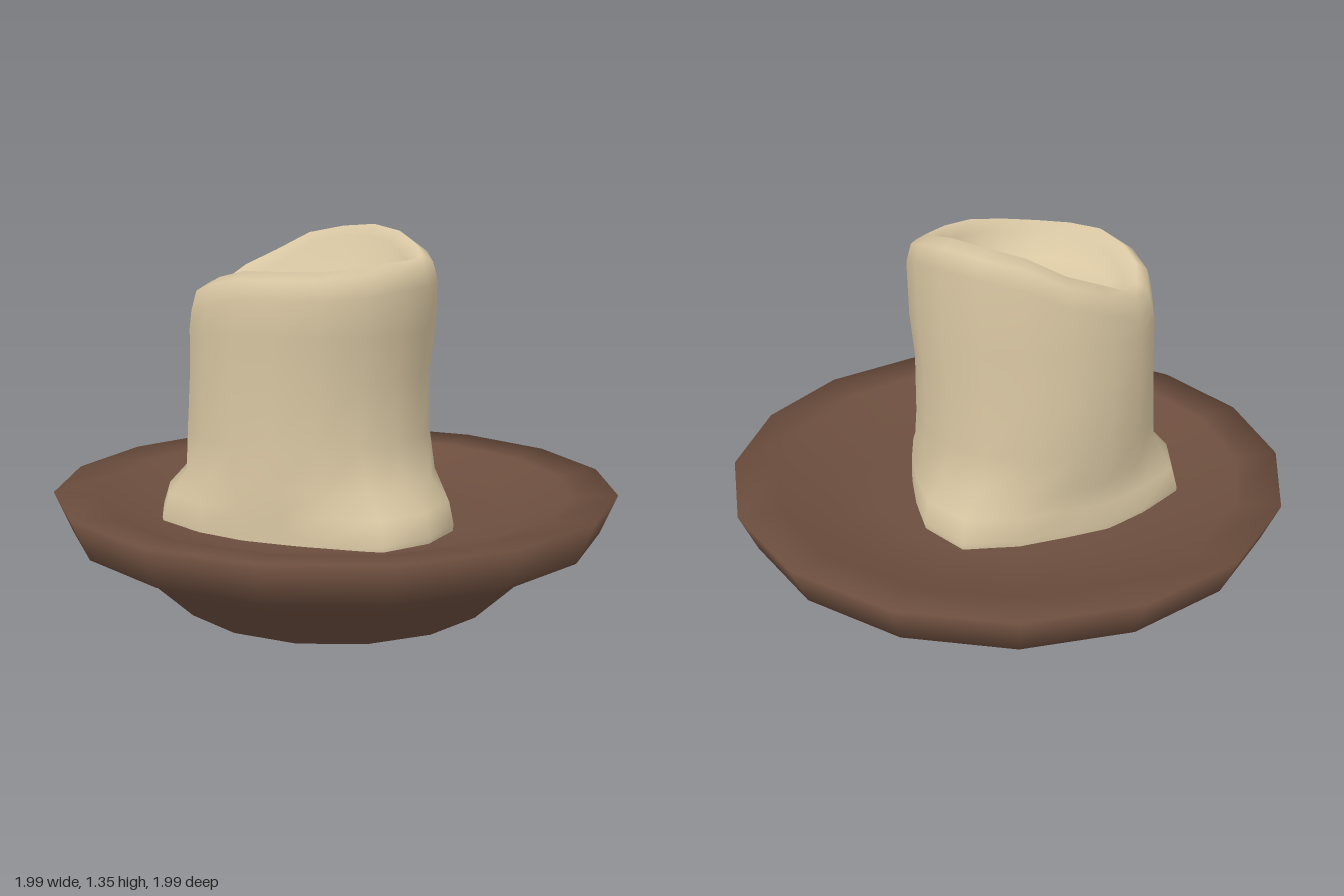
import * as THREE from 'three';

// Smooth skin through closed rings of points, finished with a cap at the last ring's centre
function loft(rings, tip) {
  const n = rings[0].length, pos = rings.flat(2), index = [];
  for (let r = 0; r < rings.length - 1; r++) {
    for (let j = 0; j < n; j++) {
      const a = r * n + j, b = r * n + (j + 1) % n;
      index.push(a, a + n, b, b, a + n, b + n);
    }
  }
  const last = (rings.length - 1) * n, c = rings.length * n;
  pos.push(...tip);
  for (let j = 0; j < n; j++) index.push(last + j, c, last + (j + 1) % n);
  const g = new THREE.BufferGeometry();
  g.setAttribute('position', new THREE.Float32BufferAttribute(pos, 3));
  g.setIndex(index);
  g.computeVertexNormals();
  return g;
}

export function createModel() {
  const group = new THREE.Group();
  const wax = new THREE.MeshStandardMaterial({ name: 'cream wax', color: 0xd9c7a3 });
  const clay = new THREE.MeshStandardMaterial({ name: 'brown clay', color: 0x6c4e3e });

  // Dish: flared underside, broad rim, shallow hollow
  const profile = [
    [0, 0], [0.45, 0.002], [0.59, 0.012], [0.775, 0.19], [0.955, 0.275],
    [1.015, 0.418], [0.86, 0.4], [0.7, 0.325], [0.5, 0.312], [0, 0.31],
  ].map(([x, y]) => new THREE.Vector2(x, y));
  const dish = new THREE.Mesh(
    new THREE.LatheGeometry(profile, 16, THREE.MathUtils.degToRad(11)), clay);
  dish.name = 'dish';
  group.add(dish);

  // Candle: values every 20 degrees, from +x towards +z
  const foot = [0.55, 0.55, 0.44, 0.41, 0.43, 0.48, 0.56, 0.57, 0.5,
    0.475, 0.46, 0.5, 0.57, 0.53, 0.46, 0.44, 0.46, 0.53];
  const lip = [1.235, 1.22, 1.21, 1.21, 1.21, 1.185, 1.155, 1.13, 1.145,
    1.2, 1.25, 1.315, 1.34, 1.348, 1.325, 1.28, 1.25, 1.24];
  const ring = (cx, radius, height) => foot.map((f, j) => {
    const a = j * Math.PI / 9, r = radius(f);
    return [cx + r * Math.cos(a), height(lip[j]), 0.095 + r * Math.sin(a)];
  });
  // flare blends the round wall into the melted foot
  const wall = (cx, r, flare, y) => ring(cx, f => r + (f - r) * flare, () => y);
  const rim = (r, drop) => ring(-0.01, () => r, h => h - drop);
  // pool rings follow the lip's slope only in part
  const pool = (r, y, follow) => ring(0, () => r, h => y + follow * (h - 1.13));
  const candle = new THREE.Mesh(loft([
    wall(0, 0.43, 0.95, 0.3),
    wall(0, 0.43, 1, 0.335),
    wall(0, 0.43, 0.82, 0.415),
    wall(-0.015, 0.43, 0.25, 0.49),
    wall(-0.04, 0.435, 0.04, 0.63),
    wall(-0.035, 0.43, 0, 0.85),
    wall(-0.02, 0.437, 0, 1),
    // rounded uneven lip
    rim(0.435, 0.09),
    rim(0.417, 0.025),
    rim(0.375, 0),
    rim(0.33, 0.04),
    // sunken melt pool
    pool(0.29, 1.07, 0.3),
    pool(0.2, 1.05, 0.1),
  ], [0, 1.04, 0.095]), wax);
  candle.name = 'candle';
  group.add(candle);

  return group;
}
